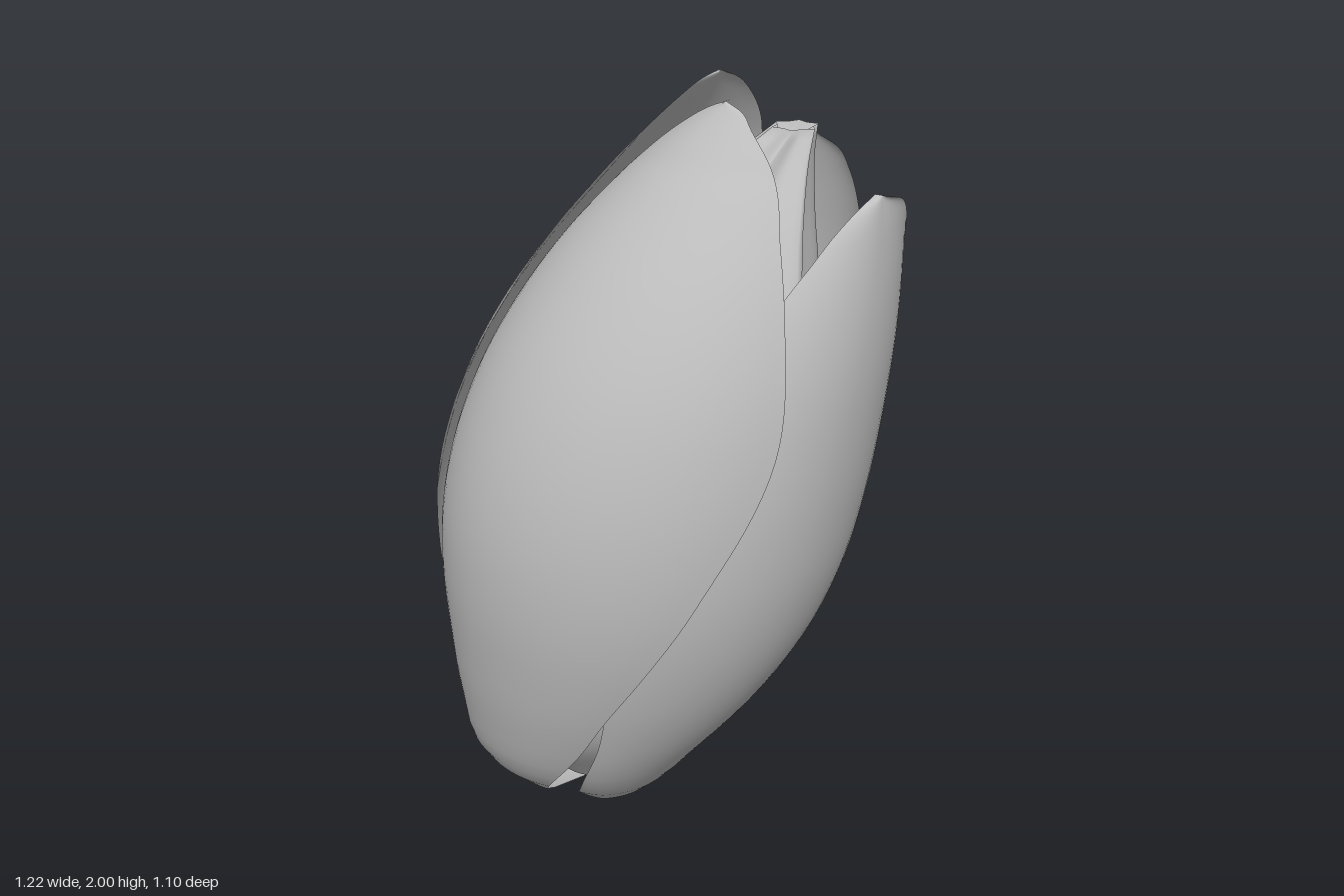
import * as THREE from 'three';

// smooth curve through [position, value] pairs
function curve(pairs) {
  const c = new THREE.CubicInterpolant(pairs.map(p => p[0]), pairs.map(p => p[1]), 1, new Float32Array(1));
  return t => c.evaluate(t)[0];
}

// leaning centre line and radius of the bud, by height
const axisX = curve([[0, -.18], [.1, -.2], [.2, -.2], [.4, -.135], [.6, -.08], [.8, -.045], [1, -.015],
  [1.2, .025], [1.4, .08], [1.6, .15], [1.8, .23], [2, .3]]);
const radius = curve([[0, .04], [.03, .15], [.1, .25], [.2, .335], [.4, .445], [.6, .52], [.8, .565], [1, .58],
  [1.2, .568], [1.4, .53], [1.6, .46], [1.8, .36], [1.95, .265], [2, .235]]);
const DEPTH = .955; // the bud is slightly narrower front to back

// sheet of quads from point(s, t), s and t in 0..1
function sheet(nu, nv, point) {
  const pos = [], index = [];
  for (let j = 0; j <= nv; j++) {
    for (let i = 0; i <= nu; i++) {
      pos.push(...point(i / nu, j / nv));
      if (i < nu && j < nv) {
        const a = j * (nu + 1) + i, b = a + nu + 1;
        index.push(a, b, a + 1, b, b + 1, a + 1);
      }
    }
  }
  const g = new THREE.BufferGeometry();
  g.setAttribute('position', new THREE.Float32BufferAttribute(pos, 3));
  g.setIndex(index);
  g.computeVertexNormals();
  return g;
}

// one petal between its tucked-in (trail) and outer (lead) edge,
// both given as [height, azimuth in degrees from +x towards +z]
function petal({ tip, size, flick, trail, lead }) {
  const trailAt = curve(trail), leadAt = curve(lead);
  return sheet(32, 60, (s, t) => {
    const u = s * 2 - 1;
    const v = 1 - Math.pow(1 - t, 1.8);
    const y = tip * v;
    const az = THREE.MathUtils.degToRad(THREE.MathUtils.lerp(trailAt(y), leadAt(y), s));
    const tuck = u < 0 ? .985 - .085 * u * u : .985 + .015 * u;
    const bulge = 1 + (size - 1) * (1 - u * u);
    const curl = 1 + flick * Math.max(0, v - .93) / .07;
    const r = radius(y) * tuck * bulge * curl;
    const lift = .06 * (1 - v) ** 12 * Math.max(0, -Math.cos(az));
    return [axisX(y) + r * Math.cos(az), y + lift, DEPTH * r * Math.sin(az)];
  });
}

// closed inner bud, pleated towards the tip, with a small hollow at the top
const innerX = curve([[.08, -.2], [.3, -.165], [.6, -.08], [1, -.01], [1.3, .045], [1.5, .1], [1.7, .19], [1.9, .325]]);
const innerR = curve([[.08, .1], [.3, .27], [.6, .36], [1, .41], [1.3, .38], [1.5, .32], [1.7, .205], [1.84, .1], [1.9, .06]]);
function innerBud() {
  return sheet(96, 48, (s, t) => {
    const az = s * Math.PI * 2;
    const hollow = t > .96;
    const y = hollow ? 1.86 : .08 + 1.82 * Math.min(1, t / .95);
    const fold = THREE.MathUtils.smoothstep(y, 1, 1.7);
    const pleat = 1 - .25 * fold * Math.abs(Math.sin(3 * az + .5));
    const r = hollow ? .004 : innerR(y) * pleat;
    return [innerX(y) + r * Math.cos(az), y, r * Math.sin(az)];
  });
}

export function createModel() {
  const group = new THREE.Group();
  group.name = 'flowerBud';
  const grey = new THREE.MeshStandardMaterial({ color: 0xbfbfbf, side: THREE.DoubleSide });
  grey.name = 'petalGrey';
  const add = (name, geometry) => {
    const m = new THREE.Mesh(geometry, grey);
    m.name = name;
    group.add(m);
  };

  // four petals, each overlapping the next around the bud
  add('frontRightPetal', petal({
    tip: 2, size: 1.03, flick: .05,
    trail: [[0, 200], [.3, 192], [.9, 198], [1.4, 196], [1.72, 190], [1.86, 176], [1.94, 160], [1.98, 147], [2, 135]],
    lead: [[0, 130], [.06, 130], [.15, 119], [.27, 110], [.53, 101], [.87, 86], [1.25, 73], [1.55, 79], [1.72, 87],
      [1.87, 98], [1.95, 114], [1.985, 124], [2, 135]],
  }));
  add('backRightPetal', petal({
    tip: 2, size: .98, flick: .02,
    trail: [[0, 275], [.3, 280], [1, 286], [1.6, 285], [1.85, 279], [1.94, 264], [1.98, 250], [2, 236]],
    lead: [[0, 208], [.3, 196], [.9, 186], [1.45, 180], [1.72, 191], [1.88, 207], [1.95, 217], [1.985, 226], [2, 236]],
  }));
  add('frontLeftPetal', petal({
    tip: 1.78, size: .965, flick: 0,
    trail: [[0, 122], [.1, 106], [.2, 100], [.5, 102], [.9, 104], [1.3, 95], [1.57, 80], [1.65, 72], [1.73, 60], [1.765, 49], [1.78, 40]],
    lead: [[0, 0], [.18, -2], [.35, -8], [.6, -13.5], [.9, -15.5], [1.15, -12.5], [1.37, -6.5], [1.62, 5], [1.7, 14], [1.76, 28], [1.78, 40]],
  }));
  add('backLeftPetal', petal({
    tip: 1.83, size: .97, flick: 0,
    trail: [[0, 345], [.3, 353], [.6, 359], [1, 360], [1.37, 353], [1.62, 339], [1.74, 329], [1.8, 319], [1.83, 304]],
    lead: [[0, 268], [.3, 255], [.7, 243], [1, 244], [1.35, 261], [1.6, 274], [1.75, 286], [1.81, 294], [1.83, 304]],
  }));
  add('innerBud', innerBud());
  return group;
}
